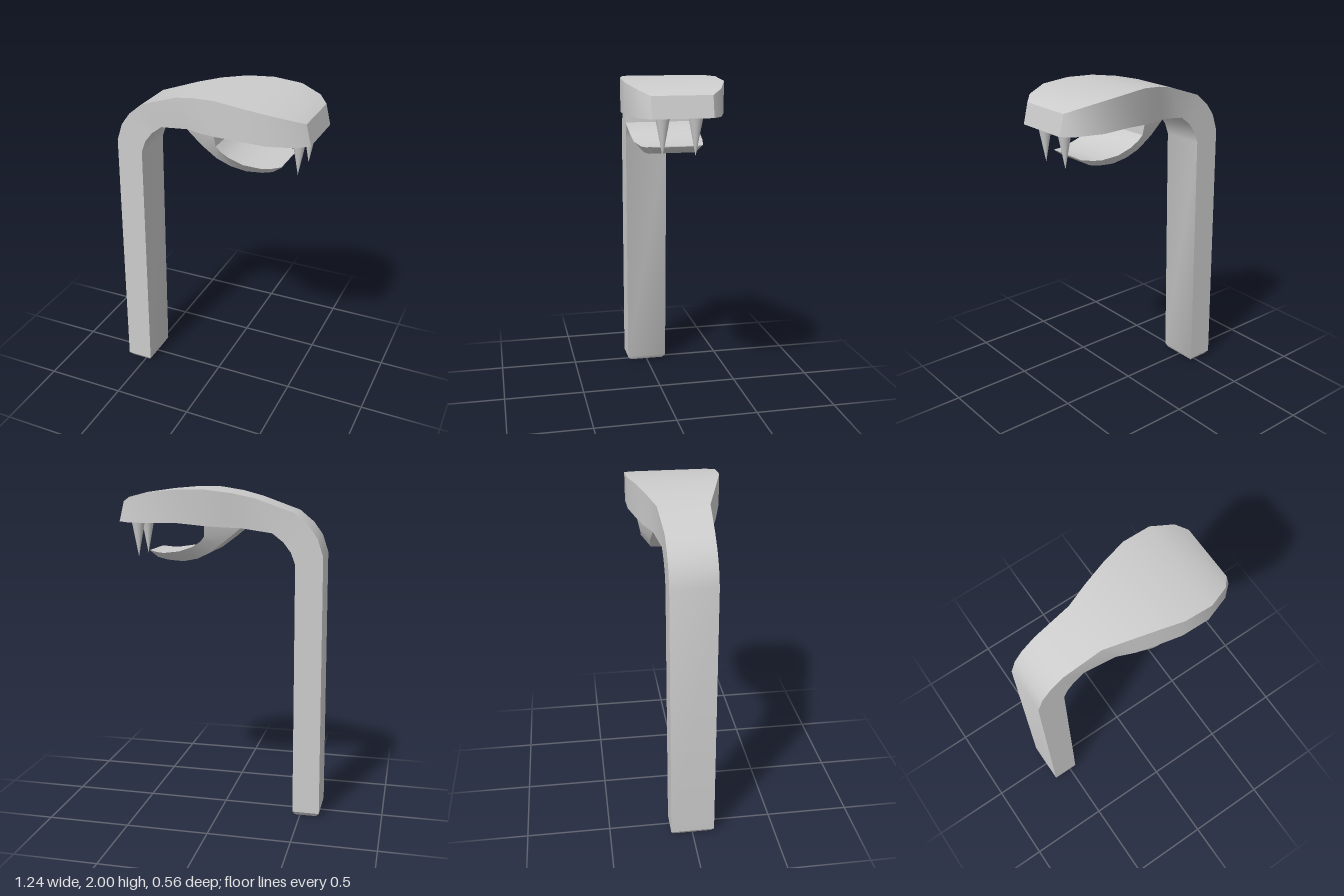
import * as THREE from 'three';
import { toCreasedNormals } from 'three/addons/utils/BufferGeometryUtils.js';

// Loft of four-sided sections: [upperX, upperY, lowerX, lowerY, upperHalfWidth, lowerHalfWidth]
function loft(stations) {
  const pos = [];
  const index = [];
  for (const [ux, uy, lx, ly, wu, wl = wu] of stations) {
    pos.push(ux, uy, wu, lx, ly, wl, lx, ly, -wl, ux, uy, -wu);
  }
  for (let i = 0; i < stations.length - 1; i++) {
    for (let j = 0; j < 4; j++) {
      const a = i * 4 + j;
      const b = i * 4 + (j + 1) % 4;
      index.push(a, b, b + 4, a, b + 4, a + 4);
    }
  }
  // End caps
  const e = (stations.length - 1) * 4;
  index.push(0, 2, 1, 0, 3, 2, e, e + 1, e + 2, e, e + 2, e + 3);
  const geo = new THREE.BufferGeometry();
  geo.setAttribute('position', new THREE.Float32BufferAttribute(pos, 3));
  geo.setIndex(index);
  return toCreasedNormals(geo, 0.55);
}

export function createModel() {
  const model = new THREE.Group();
  const material = new THREE.MeshStandardMaterial({ color: 0xcccccc });
  const add = (name, geometry) => {
    const mesh = new THREE.Mesh(geometry, material);
    mesh.name = name;
    model.add(mesh);
    return mesh;
  };

  // Upright neck bending over into the flat, flared upper head
  add('neckAndUpperHead', loft([
    [-0.60, 0, -0.47, 0, 0.112],
    [-0.62, 0.025, -0.455, 0.025, 0.132],
    [-0.605, 1.62, -0.443, 1.57, 0.135],
    [-0.57, 1.725, -0.417, 1.64, 0.135],
    [-0.515, 1.80, -0.37, 1.70, 0.135],
    [-0.43, 1.87, -0.305, 1.75, 0.136],
    [-0.20, 1.95, -0.125, 1.778, 0.15, 0.165],
    [-0.07, 1.98, -0.02, 1.785, 0.193, 0.21],
    [0.08, 2.0, 0.08, 1.793, 0.238],
    [0.23, 2.0, 0.23, 1.81, 0.277],
    [0.40, 1.985, 0.40, 1.807, 0.28],
    [0.53, 1.953, 0.55, 1.805, 0.228],
    [0.585, 1.925, 0.615, 1.805, 0.17],
  ]));

  // Curved lower jaw, narrower along its underside
  add('lowerJaw', loft([
    [0.075, 1.80, -0.125, 1.778, 0.237, 0.165],
    [0.08, 1.73, -0.03, 1.70, 0.222, 0.172],
    [0.105, 1.70, 0.06, 1.632, 0.215, 0.165],
    [0.155, 1.667, 0.14, 1.592, 0.208, 0.15],
    [0.24, 1.638, 0.23, 1.573, 0.203, 0.14],
    [0.34, 1.624, 0.33, 1.58, 0.18, 0.135],
    [0.39, 1.626, 0.39, 1.594, 0.16, 0.13],
    [0.44, 1.634, 0.44, 1.63, 0.135, 0.13],
  ]));

  // Pair of fangs pointing down from the front of the upper head
  for (const [name, z] of [['rightFang', 0.095], ['leftFang', -0.09]]) {
    const fang = add(name, new THREE.ConeGeometry(0.042, 0.225, 24));
    fang.rotation.x = Math.PI;
    fang.position.set(0.525, 1.7, z);
  }
  return model;
}
